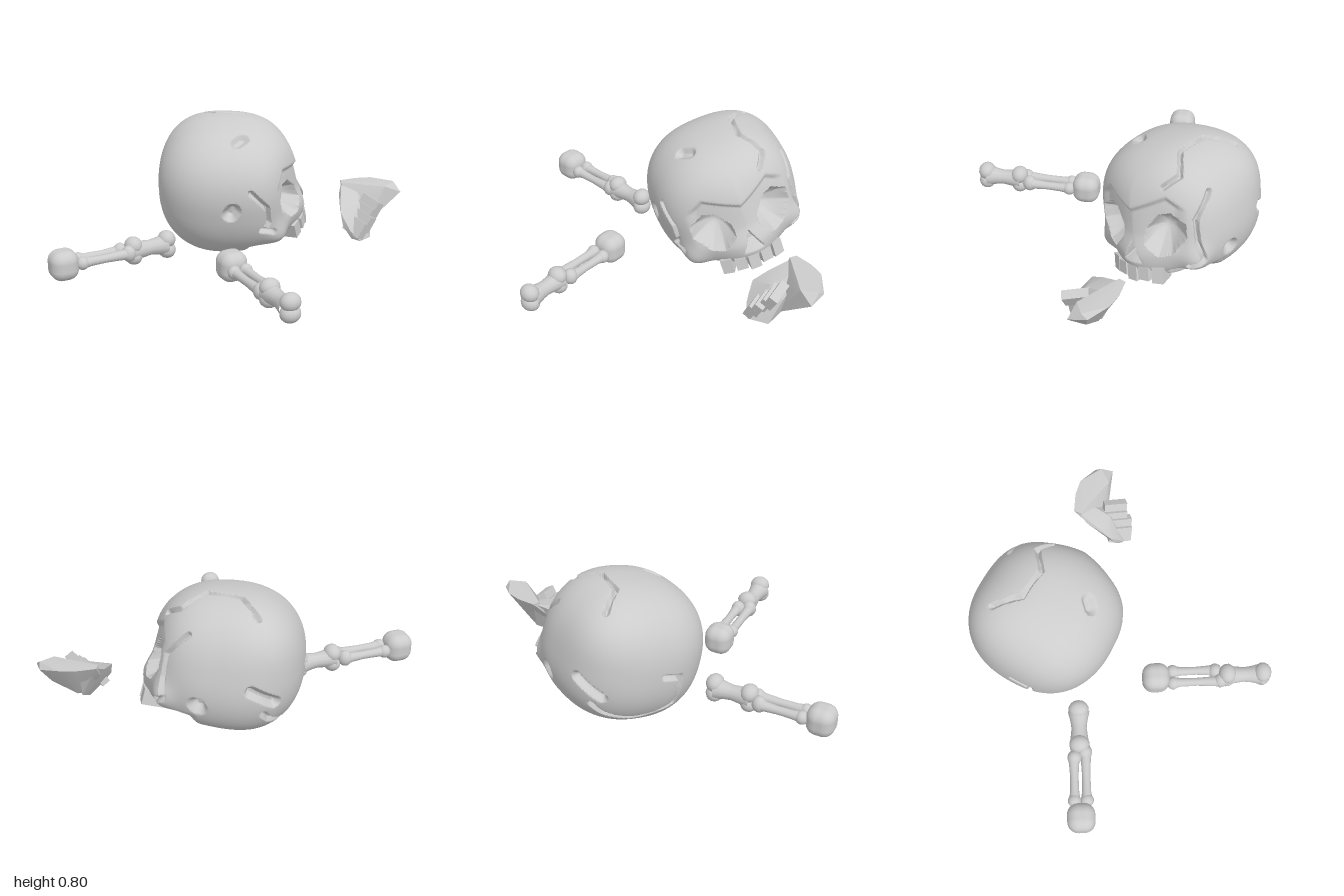
import * as THREE from 'three';
import { toCreasedNormals } from 'three/addons/utils/BufferGeometryUtils.js';
import { RoundedBoxGeometry } from 'three/addons/geometries/RoundedBoxGeometry.js';
import { ConvexGeometry } from 'three/addons/geometries/ConvexGeometry.js';

const V = (x, y, z) => new THREE.Vector3(x, y, z);
const material = new THREE.MeshStandardMaterial({ color: 0xcccccc });
const step = THREE.MathUtils.smoothstep;

function add(parent, name, geometry, x = 0, y = 0, z = 0) {
  const mesh = new THREE.Mesh(geometry, material);
  mesh.name = name;
  mesh.position.set(x, y, z);
  parent.add(mesh);
  return mesh;
}

// Skull placement: turned to its left and rolled onto one side
const CENTRE = V(0.195, 0.395, -0.335);
const TURN = new THREE.Quaternion().setFromEuler(new THREE.Euler(0, 0.7, 0.26, 'YXZ'));

// Cracks and holes: half width, depth, path
const DENTS = [
  [0.04, 0.03, [[0.51, 0.67, -0.41], [0.59, 0.55, -0.33], [0.62, 0.43, -0.34], [0.62, 0.34, -0.37], [0.62, 0.3, -0.3]]],
  [0.04, 0.03, [[-0.04, 0.46, 0.04], [0.06, 0.35, 0.08], [0.08, 0.25, 0.08], [0.05, 0.2, 0.05], [0.12, 0.19, 0.08]]],
  [0.04, 0.03, [[0.23, 0.75, -0.62], [0.2, 0.79, -0.45], [0.3, 0.79, -0.3], [0.45, 0.74, -0.27], [0.46, 0.68, -0.18]]],
  [0.045, 0.03, [[0.3, 0.28, -0.74], [0.24, 0.22, -0.72], [0.1, 0.16, -0.66], [-0.1, 0.18, -0.56], [-0.15, 0.36, -0.58], [-0.08, 0.4, -0.66]]],
  [0.08, 0.04, [[0.37, 0.43, -0.73], [0.24, 0.34, -0.76]]],
  [0.12, 0.05, [[-0.12, 0.33, -0.05], [-0.11, 0.35, -0.04]]],
  [0.12, 0.05, [[0.58, 0.32, -0.55], [0.58, 0.33, -0.54]]],
  [0.1, 0.03, [[0.02, 0.72, -0.12], [0.07, 0.73, -0.12]]],
];
const inverse = TURN.clone().invert();
const grooves = DENTS.flatMap(([width, depth, path]) => {
  const dirs = path.map(p => V(...p).sub(CENTRE).applyQuaternion(inverse).normalize());
  return dirs.slice(1).map((b, i) => ({ width, depth, line: new THREE.Line3(dirs[i], b) }));
});

const bump = (d, x, y, z, width) => {
  const l = Math.hypot(x, y, z);
  return Math.exp(-((d.x - x / l) ** 2 + (d.y - y / l) ** 2 + (d.z - z / l) ** 2) / (width * width));
};

const near = V();
function skullRadius(d) {
  const e = 2.35, m = V(Math.abs(d.x), d.y, d.z);
  let r = ((m.x / 0.42) ** e + (Math.abs(d.y) / 0.4) ** e + (Math.abs(d.z) / 0.425) ** e) ** (-1 / e);
  // Upper jaw, cheekbones and fuller back corner
  r += 0.06 * bump(m, 0, -0.21, 0.44, 0.36) + 0.045 * bump(m, 0.33, -0.17, 0.3, 0.17);
  r += 0.028 * bump(d, 0.35, 0.2, -0.27, 0.45);
  // Flatter upper face
  r -= 0.032 * bump(m, 0.18, 0.1, 0.36, 0.4);
  // Rounded, flattened skull base
  const down = -d.y + 0.2 * d.z;
  if (down > 0) r = (r ** -14 + (down / 0.355) ** 14) ** (-1 / 14);
  if (d.z > 0) {
    const x = m.x * r, y = d.y * r;
    // Brow ridge over a slightly sunken face
    const brow = 0.15 + 0.35 * x - 1.1 * Math.max(0, x - 0.2);
    r -= 0.022 * (1 - step(y, brow - 0.025, brow)) * step(y, -0.12, 0) * (1 - step(x, 0.24, 0.31));
    // Undercut below the lower edge of the cheekbones
    const edge = -0.2 - 0.25 * Math.abs(x - 0.23);
    r -= 0.03 * (1 - step(y, edge - 0.02, edge)) * step(x, 0.15, 0.18) * step(d.z, 0.2, 0.4);
    // Angular eye sockets with a bowl-shaped inside
    const u = Math.abs(x - 0.19), v = Math.abs(y - 0.005 - 0.15 * (x - 0.19));
    const socket = Math.max(u, v * 0.95, (u + v) * 0.73) / 0.108;
    if (socket < 1) r -= 0.12 * Math.sqrt(1 - socket ** 2);
    // Triangular nose opening
    const nose = Math.max(x - (-0.03 - y) * 0.5, -0.155 - y);
    r -= 0.08 * (1 - step(nose, -0.022, 0.004));
  }
  // Cracks and holes
  let cut = 0;
  for (const g of grooves) {
    g.line.closestPointToPoint(d, true, near);
    cut = Math.max(cut, g.depth * Math.min(1, 1.5 * (1 - near.distanceTo(d) / g.width)));
  }
  return r - cut;
}

function skull() {
  const group = new THREE.Group();
  group.name = 'skull';
  const geo = new THREE.IcosahedronGeometry(1, 70);
  const pos = geo.attributes.position, p = V();
  for (let i = 0; i < pos.count; i++) {
    p.fromBufferAttribute(pos, i).normalize();
    p.multiplyScalar(skullRadius(p)).applyQuaternion(TURN).add(CENTRE);
    pos.setXYZ(i, p.x, Math.max(p.y, 0), p.z);
  }
  add(group, 'cranium', toCreasedNormals(geo, 0.7));

  // Upper teeth follow the curve of the mouth
  const mouth = new THREE.Group();
  mouth.name = 'upperTeeth';
  mouth.position.copy(CENTRE);
  mouth.quaternion.copy(TURN);
  for (let i = 0; i < 5; i++) {
    const x = (i - 2) * 0.066 - 0.015, height = i % 2 ? 0.075 : 0.09;
    const tooth = add(mouth, 'upperTooth', new THREE.BoxGeometry(0.065, height, 0.13), x, -0.195 - height / 2, 0.4 - 2 * x * x);
    tooth.rotation.set(-0.2, x * 3, 0);
  }
  group.add(mouth);
  return group;
}

// Broken lower jaw: chin piece, upright plate and a row of chunky teeth
function jaw() {
  const group = new THREE.Group();
  group.name = 'lowerJaw';
  const hull = pts => toCreasedNormals(new ConvexGeometry(pts.map(p => V(...p))), 0.5);
  add(group, 'jawBody', hull([
    [0.57, 0.14, 0.25], [0.575, 0.12, 0.3], [0.59, 0.065, 0.3], [0.6, 0.06, 0.36], [0.72, 0.05, 0.35], [0.72, 0.05, 0.25], [0.8, 0.11, 0.2],
    [0.58, 0.22, 0.22], [0.65, 0.27, 0.17], [0.7, 0.28, 0.12], [0.78, 0.34, 0.08], [0.86, 0.33, 0.13], [0.78, 0.2, 0.3], [0.7, 0.26, 0.27]]));
  add(group, 'jawPlate', hull([
    [0.75, 0.34, 0.1], [0.78, 0.34, 0.07], [0.88, 0.34, 0.12], [0.95, 0.34, 0.18], [1, 0.31, 0.3], [0.98, 0.34, 0.33],
    [0.96, 0.29, 0.4], [0.88, 0.33, 0.34], [0.79, 0.27, 0.26], [0.93, 0.21, 0.3], [0.82, 0.12, 0.22], [0.74, 0.07, 0.26], [0.72, 0.24, 0.13]]));
  for (let i = 0; i < 4; i++) {
    const tooth = add(group, 'lowerTooth', new THREE.BoxGeometry(0.052, 0.1, 0.14),
      0.63 + i * 0.038, 0.13 + i * 0.036, 0.305 + (i % 2) * 0.015);
    tooth.rotation.set(0.2, -0.2, -0.45);
  }
  return group;
}

// One limb: hand knob, two thin forearm bones, and a lobed upper bone, laid along +x
function limb(name, x, z, angle) {
  const group = new THREE.Group();
  group.name = name;
  group.position.set(x, 0.14, z);
  group.rotation.y = angle;
  const ball = (label, r, bx, by, bz) => add(group, label, new THREE.SphereGeometry(r, 14, 10), bx, by, bz);
  const shaft = (label, profile) => {
    const g = new THREE.LatheGeometry(profile.map(([r, s]) => new THREE.Vector2(r, s)), 12);
    return add(group, label, g.rotateZ(-Math.PI / 2));
  };
  add(group, 'handKnob', new RoundedBoxGeometry(0.16, 0.172, 0.16, 5, 0.063));
  for (const side of [1, -1]) {
    const end = side > 0 ? 0.38 : 0.35;
    shaft('forearmBone', [[0.034, 0.1], [0.026, 0.15], [0.024, 0.24], [0.029, end - 0.04], [0.037, end]])
      .position.z = side * 0.034;
    ball('wristEnd', 0.038, 0.1, 0, side * 0.036);
    ball('elbowEnd', 0.042, end, 0, side * 0.03).scale.y = 1.15;
  }
  shaft('upperBone', [[0.06, 0.41], [0.05, 0.47], [0.044, 0.52], [0.049, 0.56], [0.063, 0.62]]);
  for (const s of [0.42, 0.628])
    for (const side of [1, -1]) ball('boneLobe', 0.051, s, side * 0.032, 0).scale.z = 1.15;
  return group;
}

export function createModel() {
  const model = new THREE.Group();
  model.name = 'brokenSkeleton';
  model.add(skull(), jaw());
  model.add(limb('backLimb', -0.915, -0.585, -0.365), limb('frontLimb', -0.322, 0.133, -1.93));
  return model;
}
